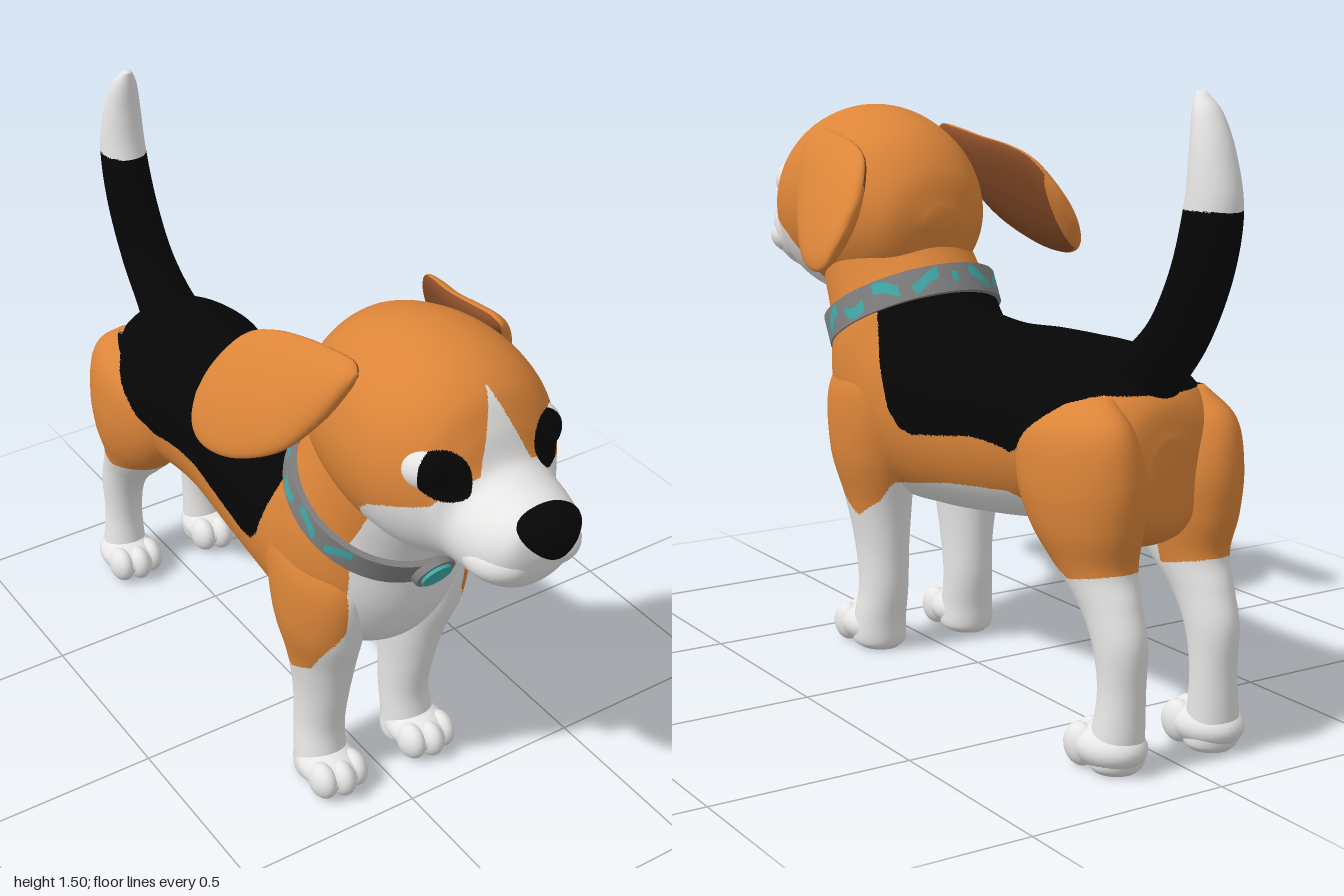
import * as THREE from 'three';
import { toCreasedNormals } from 'three/addons/utils/BufferGeometryUtils.js';

const material = (name, color) => Object.assign(new THREE.MeshStandardMaterial({ color }), { name });
const tan = material('tan fur', 0xdc8539);
const white = material('white fur', 0xeeedec);
const black = material('black fur', 0x060606);
const brown = material('inner ear brown', 0x8a4d28);
const grey = material('collar grey', 0x828282);
const teal = material('collar teal', 0x43adad);

// Piecewise linear line through [z, y] points in rising z.
function line(points, z) {
  for (let i = 1; i < points.length; i++) {
    const [a, b] = [points[i - 1], points[i]];
    if (z <= b[0]) return a[1] + (b[1] - a[1]) * Math.max(0, (z - a[0]) / (b[0] - a[0]));
  }
  return points[points.length - 1][1];
}

// Colour a geometry by rule(point, normal); triangles on a colour edge are split finer.
function paint(source, rule) {
  const flat = source.index ? source.toNonIndexed() : source;
  const { position, normal } = flat.attributes;
  const lists = new Map();
  const colour = (v) => rule(v.p, v.n);
  const middle = (a, b) => ({ p: a.p.clone().lerp(b.p, 0.5), n: a.n.clone().lerp(b.n, 0.5).normalize() });
  function visit(a, b, c, depth) {
    const mat = colour(a);
    const mixed = mat !== colour(b) || mat !== colour(c);
    if (mixed && depth > 0) {
      const ab = middle(a, b), bc = middle(b, c), ca = middle(c, a);
      for (const t of [[a, ab, ca], [ab, b, bc], [ca, bc, c], [ab, bc, ca]]) visit(...t, depth - 1);
      return;
    }
    const key = mixed ? colour(middle(middle(a, b), c)) : mat;
    if (!lists.has(key)) lists.set(key, []);
    lists.get(key).push(a, b, c);
  }
  const vertex = (i) => ({
    p: new THREE.Vector3().fromBufferAttribute(position, i),
    n: new THREE.Vector3().fromBufferAttribute(normal, i),
  });
  for (let i = 0; i < position.count; i += 3) visit(vertex(i), vertex(i + 1), vertex(i + 2), 2);

  const geo = new THREE.BufferGeometry(), mats = [...lists.keys()], all = [];
  mats.forEach((m, k) => {
    geo.addGroup(all.length, lists.get(m).length, k);
    for (const v of lists.get(m)) all.push(v);
  });
  geo.setAttribute('position', new THREE.Float32BufferAttribute(all.flatMap((v) => v.p.toArray()), 3));
  geo.setAttribute('normal', new THREE.Float32BufferAttribute(all.flatMap((v) => v.n.toArray()), 3));
  return new THREE.Mesh(geo, mats);
}

// Smooth loft through oval sections [z1, y1, z2, y2, halfWidth, x]:
// the two points are opposite ends of the oval; side mirrors, lean tilts it in x.
function loft(sections, rings, around, side = 1, lean = 0) {
  const curve = (f) => new THREE.CatmullRomCurve3(sections.map(f), false, 'catmullrom');
  const first = curve((s) => new THREE.Vector3(s[0], s[1], s[4]));
  const second = curve((s) => new THREE.Vector3(s[2], s[3], s[5] || 0));
  const pos = [], index = [];
  for (let i = -1; i <= rings + 1; i++) {
    const t = Math.min(1, Math.max(0, i / rings));
    const size = i < 0 || i > rings ? 0 : 1;
    const p = first.getPoint(t), q = second.getPoint(t);
    for (let j = 0; j < around; j++) {
      const a = (j / around) * Math.PI * 2, u = Math.cos(a) * size, v = Math.sin(a) * size;
      const dy = (v * (p.y - q.y)) / 2;
      pos.push(side * (q.z + u * p.z - dy * lean), (p.y + q.y) / 2 + dy, (p.x + q.x) / 2 + (v * (p.x - q.x)) / 2);
      if (i > rings) continue;
      const r = (i + 1) * around, k = (j + 1) % around;
      const [A, B, C, D] = [r + j, r + k, r + around + k, r + around + j];
      index.push(...(side > 0 ? [A, B, C, A, C, D] : [A, C, B, A, D, C]));
    }
  }
  const geo = new THREE.BufferGeometry();
  geo.setAttribute('position', new THREE.Float32BufferAttribute(pos, 3));
  geo.setIndex(index);
  geo.computeVertexNormals();
  return geo;
}

function ball(mat, center, radii) {
  const mesh = new THREE.Mesh(new THREE.SphereGeometry(1, 28, 20), mat);
  mesh.position.set(...center);
  mesh.scale.set(...radii);
  return mesh;
}

// Coat markings
const saddle = [[-0.85, 0.84], [-0.72, 0.84], [-0.65, 0.815], [-0.55, 0.74], [-0.5, 0.69], [-0.45, 0.67], [-0.25, 0.67],
  [-0.1, 0.645], [0, 0.63], [0.05, 0.64], [0.09, 0.68], [0.15, 0.82], [0.2, 0.93], [0.21, 2]];
const underside = [[-0.84, 0.46], [-0.7, 0.43], [-0.55, 0.48], [-0.47, 0.54], [-0.35, 0.55], [-0.1, 0.52],
  [0.15, 0.47], [0.18, 0.42], [0.25, 0.37], [0.34, 0.42], [0.42, 0.54], [0.52, 0.76], [0.6, 1]];
const cheek = [[0.42, 0.8], [0.5, 0.95], [0.55, 1.04], [0.6, 1.085], [0.65, 1.11], [0.75, 1.145], [0.79, 1.21], [0.8, 2]];
const blaze = [[1.12, 0.13], [1.16, 0.09], [1.21, 0.065], [1.37, 0]];

const pupilAt = ({ x, y, z }) => z > 0.66 && Math.hypot(Math.abs(x) - 0.14, y - 1.213) < 0.055;
function faceCoat(point) {
  const { x, y, z } = point;
  if (pupilAt(point)) return black;
  if (y < line(cheek, z)) return white;
  return z > 0.55 && Math.abs(x) < line(blaze, y) ? white : tan;
}
function coat({ x, y, z }) {
  const w = Math.abs(x);
  if (z > 0.1 && y > 0.89 - (z - 0.33) * 0.52) return y < line(cheek, z) ? white : tan;
  if (y > line(saddle, z)) return black;
  if (w < 0.172 && z > 0.3) return white;
  if (w < 0.1 && y < 0.6 && z > -0.7) return white;
  return y < line(underside, z) ? white : tan;
}

const torso = [[-0.805, 0.74, -0.805, 0.62, 0.05], [-0.785, 0.83, -0.79, 0.53, 0.14], [-0.71, 0.9, -0.72, 0.48, 0.2],
  [-0.58, 0.93, -0.6, 0.47, 0.222], [-0.46, 0.932, -0.48, 0.48, 0.205], [-0.33, 0.93, -0.35, 0.465, 0.182],
  [-0.15, 0.92, -0.15, 0.435, 0.19],
  [0.05, 0.935, 0.08, 0.41, 0.208], [0.1, 0.96, 0.27, 0.41, 0.23], [0.115, 0.98, 0.42, 0.49, 0.235],
  [0.12, 0.99, 0.5, 0.62, 0.23], [0.13, 1.0, 0.535, 0.775, 0.212], [0.18, 1.06, 0.56, 0.84, 0.2],
  [0.22, 1.12, 0.61, 0.93, 0.19]];
const head = [[0.17, 1.17, 0.17, 1.12, 0.04], [0.2, 1.27, 0.22, 1.0, 0.14], [0.28, 1.36, 0.32, 0.93, 0.2],
  [0.4, 1.41, 0.45, 0.9, 0.235], [0.52, 1.425, 0.56, 0.9, 0.245], [0.63, 1.405, 0.64, 0.91, 0.235],
  [0.71, 1.36, 0.7, 0.93, 0.205], [0.755, 1.29, 0.745, 0.945, 0.172], [0.79, 1.215, 0.78, 0.945, 0.15],
  [0.85, 1.195, 0.85, 0.945, 0.138], [0.905, 1.185, 0.9, 0.965, 0.118], [0.94, 1.165, 0.935, 1.01, 0.085],
  [0.955, 1.11, 0.955, 1.07, 0.025]];
const tail = [[-0.74, 0.78, -0.58, 0.9, 0.09], [-0.8, 0.85, -0.66, 0.935, 0.075], [-0.89, 0.96, -0.75, 1.01, 0.068],
  [-0.965, 1.11, -0.82, 1.13, 0.065], [-0.997, 1.25, -0.86, 1.27, 0.06], [-0.975, 1.37, -0.87, 1.38, 0.05],
  [-0.935, 1.46, -0.868, 1.46, 0.034], [-0.89, 1.505, -0.868, 1.505, 0.012]];
const frontLeg = [[0.4, 0.8, 0.15, 0.82, 0.04, 0.15], [0.45, 0.68, 0.1, 0.72, 0.09, 0.153],
  [0.43, 0.53, 0.13, 0.54, 0.097, 0.15], [0.385, 0.4, 0.165, 0.4, 0.08, 0.137], [0.355, 0.28, 0.18, 0.28, 0.066, 0.132],
  [0.335, 0.17, 0.187, 0.17, 0.063, 0.132], [0.345, 0.08, 0.2, 0.08, 0.068, 0.137],
  [0.35, 0.02, 0.205, 0.02, 0.07, 0.137], [0.33, 0, 0.22, 0, 0.05, 0.137]];
const hindLeg = [[-0.54, 0.82, -0.74, 0.84, 0.04, 0.13], [-0.46, 0.74, -0.82, 0.77, 0.09, 0.143],
  [-0.45, 0.63, -0.845, 0.66, 0.113, 0.137], [-0.5, 0.53, -0.835, 0.55, 0.105, 0.135],
  [-0.59, 0.44, -0.815, 0.46, 0.082, 0.13], [-0.675, 0.36, -0.84, 0.385, 0.064, 0.13],
  [-0.725, 0.28, -0.865, 0.3, 0.057, 0.13], [-0.745, 0.18, -0.86, 0.19, 0.053, 0.13],
  [-0.735, 0.08, -0.86, 0.08, 0.06, 0.135], [-0.73, 0.02, -0.855, 0.02, 0.065, 0.135], [-0.74, 0, -0.84, 0, 0.05, 0.135]];
const ear = [[0.066, 1.145, 0.068, 1.115, 0.008, 0.345], [0.08, 1.215, 0.095, 1.055, 0.026, 0.335],
  [0.13, 1.29, 0.16, 1.035, 0.036, 0.315], [0.2, 1.325, 0.26, 1.055, 0.04, 0.288],
  [0.3, 1.345, 0.37, 1.12, 0.04, 0.252], [0.4, 1.362, 0.45, 1.22, 0.036, 0.225],
  [0.47, 1.37, 0.485, 1.29, 0.025, 0.208], [0.5, 1.355, 0.5, 1.335, 0.008, 0.2]];

// Collar band with a wavy inlay and a round tag
function createCollar() {
  const collar = new THREE.Group();
  const profile = [[0.93, -0.038]];
  for (let i = 0; i <= 8; i++) profile.push([1, -0.038 + i * 0.0095]);
  profile.push([0.93, 0.038], [0.93, -0.038]);
  const geo = new THREE.LatheGeometry(profile.map((p) => new THREE.Vector2(...p)), 120);
  geo.scale(0.228, 1, 0.248);
  const band = paint(toCreasedNormals(geo, 0.7), ({ x, y, z }) => {
    const a = Math.abs(Math.atan2(x, z));
    const outer = Math.hypot(x / 0.228, z / 0.248) > 0.985;
    const wave = Math.abs(y - 0.018 * Math.sin(a * 9)) < 0.015 && Math.sin(a * 14) > -0.5;
    return outer && a > 0.75 && wave ? teal : grey;
  });
  band.name = 'collarBand';
  collar.add(band);
  for (const [name, mat, r, depth] of [['tagRim', grey, 0.057, 0.018], ['tagStone', teal, 0.043, 0.026]]) {
    const disc = new THREE.Mesh(new THREE.CylinderGeometry(r * 0.93, r, depth, 32), mat);
    disc.name = name;
    disc.rotation.x = Math.PI / 2;
    disc.position.z = 0.243 + depth / 2;
    collar.add(disc);
  }
  collar.position.set(0, 0.888, 0.325);
  collar.rotation.x = 0.48;
  return collar;
}

export function createModel() {
  const dog = new THREE.Group();
  dog.name = 'dog';
  const add = (name, object) => { object.name = name; dog.add(object); };

  add('torso', paint(loft(torso, 110, 80), coat));
  add('head', paint(loft(head, 100, 80), faceCoat));
  add('tail', paint(loft(tail, 50, 32), (p) => (p.y > 1.26 ? white : black)));
  add('collar', createCollar());

  // Nose, narrower at the bottom
  const nose = ball(black, [0, 1.128, 0.937], [0.084, 0.062, 0.063]);
  const p = nose.geometry.attributes.position;
  for (let i = 0; i < p.count; i++) p.setX(i, p.getX(i) * (0.83 + 0.4 * p.getY(i)));
  nose.geometry.computeVertexNormals();
  add('nose', nose);

  for (const side of [1, -1]) {
    const label = side > 0 ? 'left' : 'right';
    add(label + 'Ear', paint(loft(ear, 40, 40, side, 0.48),
      (c, n) => (n.x * side < -0.4 && c.z > 0.1 ? brown : tan)));
    add(label + 'Jowl', ball(white, [side * 0.06, 1.045, 0.85], [0.082, 0.058, 0.092]));

    // Eyeball with a large dark pupil
    const eye = new THREE.SphereGeometry(1, 32, 24);
    eye.scale(0.066, 0.059, 0.07);
    eye.translate(side * 0.14, 1.213, 0.692);
    add(label + 'Eye', paint(eye, (c) => (pupilAt(c) ? black : white)));

    // Legs with paws and toes
    for (const [name, sections, z] of [['Front', frontLeg, 0.315], ['Hind', hindLeg, -0.772]]) {
      const leg = new THREE.Group();
      const limb = paint(loft(sections, 70, 40, side), coat);
      limb.name = 'limb';
      const paw = ball(white, [side * 0.139, 0.053, z], [0.079, 0.053, 0.1]);
      paw.name = 'paw';
      leg.add(limb, paw);
      for (const i of [-1, 0, 1]) {
        const toe = ball(white, [side * 0.139 + i * 0.046, 0.05, z + 0.062 - Math.abs(i) * 0.016], [0.034, 0.05, 0.05]);
        toe.name = 'toe';
        leg.add(toe);
      }
      add(label + name + 'Leg', leg);
    }
  }
  return dog;
}
